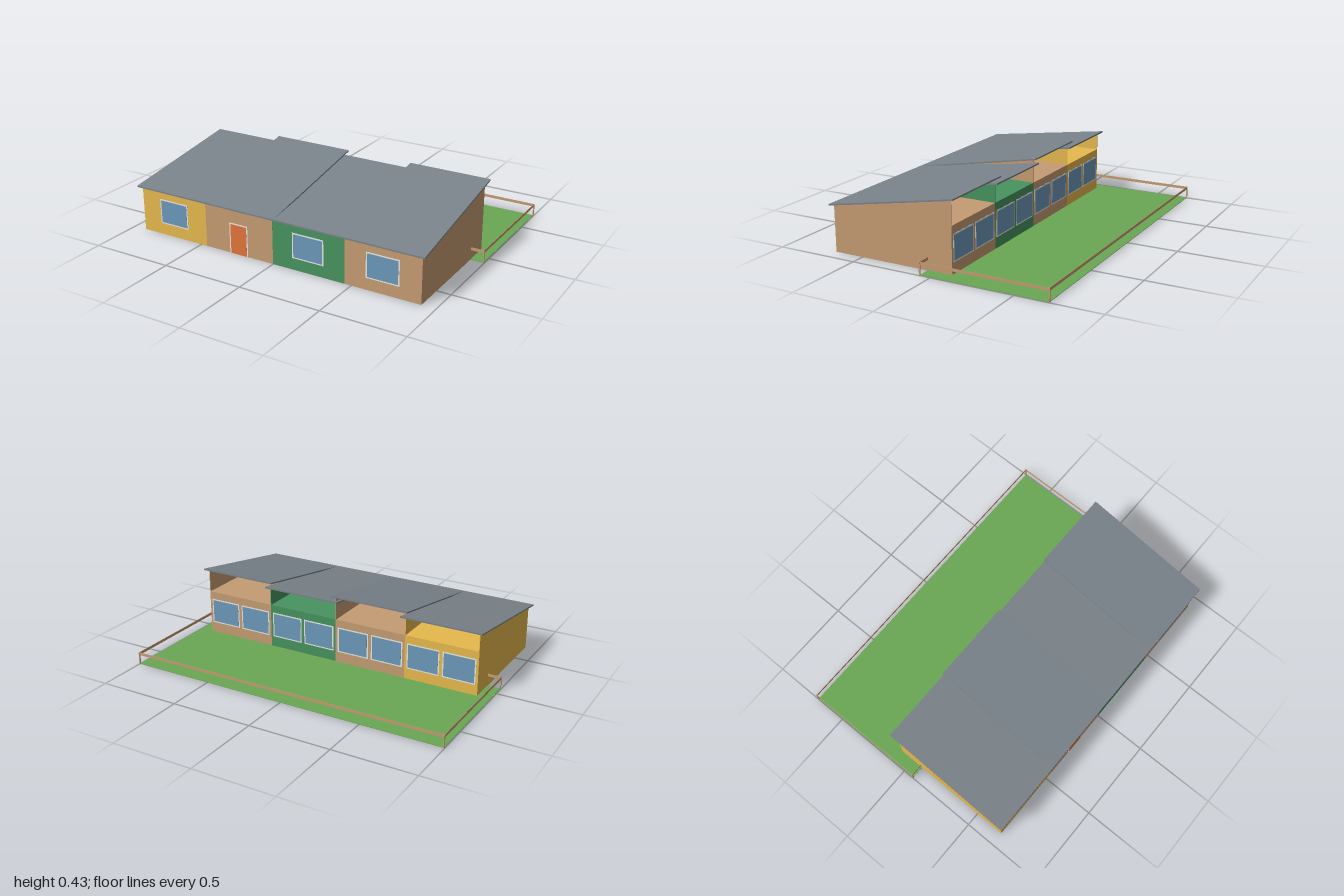
import * as THREE from 'three';

const mat = (name, color) => {
  const m = new THREE.MeshStandardMaterial({ color });
  m.name = name;
  return m;
};

export function createModel() {
  const model = new THREE.Group();
  model.name = 'terraceHouse';

  const yellow = mat('yellow wall', 0xe6b94e);
  const tan = mat('tan wall', 0xc59c73);
  const green = mat('green wall', 0x47935f);
  const orange = mat('orange door', 0xe2743a);
  const glass = mat('blue glass', 0x6c99b9);
  const frameMat = mat('pale frame', 0xe8e8e2);
  const slate = mat('grey roof', 0x7a838a);
  const soffitMat = mat('brown soffit', 0x6b5344);
  const grass = mat('lawn green', 0x6aa854);

  const FRONT = 0.68, BACK = -0.085, T = 0.004, EAVES = 0.276, SLAB = 0.275;

  // box from minimum and maximum corners
  function box(parent, name, material, x0, x1, y0, y1, z0, z1) {
    const m = new THREE.Mesh(new THREE.BoxGeometry(x1 - x0, y1 - y0, z1 - z0), material);
    m.position.set((x0 + x1) / 2, (y0 + y1) / 2, (z0 + z1) / 2);
    m.name = name;
    parent.add(m);
  }

  // side profile, given as [z, y] points, extruded from x0 to x1
  function profile(parent, name, material, points, x0, x1) {
    const shape = new THREE.Shape(points.map(([z, y]) => new THREE.Vector2(-z, y)));
    const geo = new THREE.ExtrudeGeometry(shape, { depth: x1 - x0, bevelEnabled: false });
    geo.rotateY(Math.PI / 2);
    geo.translate(x0, 0, 0);
    const m = new THREE.Mesh(geo, material);
    m.name = name;
    parent.add(m);
  }

  // framed panel: thin backing plate with a coloured plate in front; dir is +1 front, -1 back
  function panel(parent, name, material, cx, w, y0, y1, dir, sill = 0.008) {
    const g = new THREE.Group();
    g.name = name;
    const z = dir > 0 ? FRONT : BACK, b = 0.008;
    const plate = (n, m, x0, x1, ya, yb, d) =>
      box(g, n, m, x0, x1, ya, yb, z - (dir > 0 ? 0 : d), z + (dir > 0 ? d : 0));
    plate('frame', frameMat, cx - w / 2, cx + w / 2, y0, y1, 0.001);
    plate('pane', material, cx - w / 2 + b, cx + w / 2 - b, y0 + sill, y1 - b, 0.002);
    parent.add(g);
  }

  const units = [
    { name: 'yellowUnit', x: -0.9175, material: yellow, high: false, window: -0.69 },
    { name: 'tanDoorUnit', x: -0.459, material: tan, high: true, door: -0.231 },
    { name: 'greenUnit', x: 0, material: green, high: false, window: 0.228 },
    { name: 'tanEndUnit', x: 0.458, material: tan, high: true, window: 0.688 },
  ];
  const W = 0.4585;

  units.forEach((u, i) => {
    const g = new THREE.Group();
    g.name = u.name;
    model.add(g);
    const x0 = u.x, x1 = u.x + W, m = u.material;
    const wallBack = u.high ? 0.415 : 0.381;

    // walls and upper floor slab; the clerestory above the back wall is open
    box(g, 'frontWall', m, x0, x1, 0, EAVES, FRONT - T, FRONT);
    box(g, 'backWall', m, x0, x1, 0, SLAB, BACK, BACK + T);
    box(g, 'upperFloor', m, x0, x1 - T, SLAB - T, SLAB, BACK + T, FRONT - T);
    const side = [[FRONT, 0], [BACK, 0], [BACK, wallBack], [FRONT, EAVES]];
    profile(g, 'partyWall', m, side, x1 - T, x1);
    if (i === 0) profile(g, 'endWall', m, side, x0, x0 + T);

    // sloping roof, alternately high and low at the back, with a lining inside
    const zf = 0.702, zb = -0.11, yf = 0.283, th = 0.009;
    const top = u.high ? 0.43 : 0.396;
    profile(g, 'roof', slate,
      [[zf, yf - th], [zb, top - th], [zb, top], [zf, yf]], x0 - 0.022, x1 + 0.0215);
    const under = (z) => yf - th + (top - yf) * (zf - z) / (zf - zb);
    profile(g, 'soffit', soffitMat,
      [[0.6, under(0.6) - 0.003], [BACK, under(BACK) - 0.003], [BACK, under(BACK)], [0.6, under(0.6)]],
      x0 + T, x1 - T);

    // openings
    if (u.window !== undefined) panel(g, 'frontWindow', glass, u.window, 0.2, 0.07, 0.223, 1);
    if (u.door !== undefined) panel(g, 'frontDoor', orange, u.door, 0.124, 0, 0.187, 1, 0);
    for (const s of [-1, 1])
      panel(g, 'backWindow', glass, (x0 + x1) / 2 + s * 0.112, 0.205, 0.068, 0.227, -1);
  });

  // garden
  const garden = new THREE.Group();
  garden.name = 'garden';
  model.add(garden);
  const X = 0.996, ZB = -0.698, ZF = 0.067, RY = 0.06, RT = 0.077;
  box(garden, 'lawn', grass, -X, X, 0, 0.003, ZB, ZF);

  // fence: corner posts, long rails and short returns to the house
  box(garden, 'backRail', tan, -X, X, RY, RT, ZB - 0.001, ZB + 0.001);
  for (const s of [-1, 1]) {
    const a = s * X, b = s * 0.918;
    box(garden, 'sideRail', tan, a - 0.001, a + 0.001, RY, RT, ZB, ZF);
    box(garden, 'returnRail', tan, Math.min(a, b), Math.max(a, b), RY, RT, ZF - 0.001, ZF + 0.001);
    for (const z of [ZB, ZF])
      box(garden, 'fencePost', tan, a - 0.003, a + 0.003, 0, RT, z - 0.004, z + 0.004);
  }
  return model;
}
